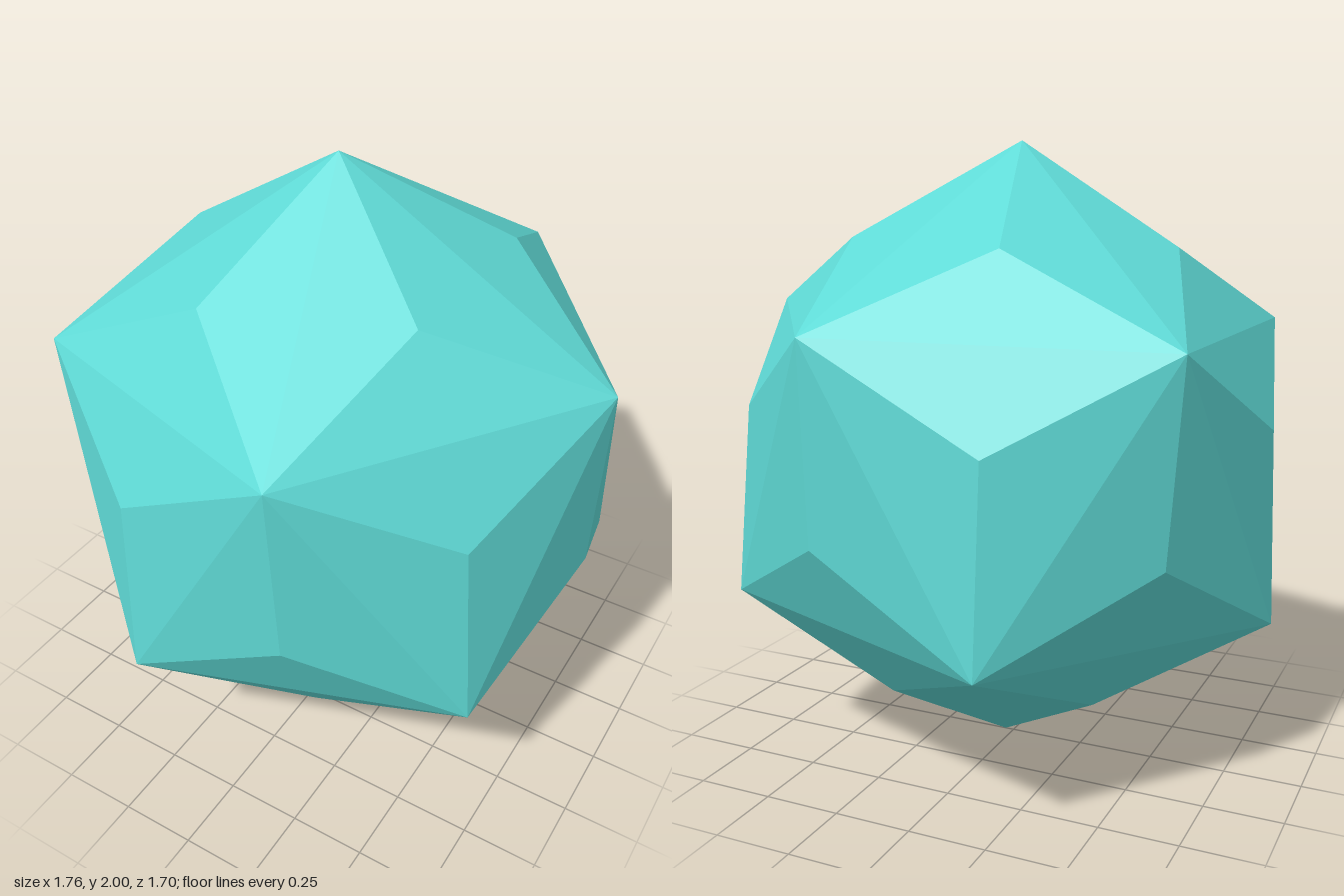
import * as THREE from 'three';

// Faceted gem: an icosahedron with a shallow three-sided pyramid on every face.
const RADIUS = 1.0004; // sharp corners
const PEAK = 0.872; // pyramid tips, measured from the centre

function gemGeometry() {
  const base = new THREE.IcosahedronGeometry(RADIUS, 0).getAttribute('position');
  const points = [];
  for (let i = 0; i < base.count; i += 3) {
    const corners = [0, 1, 2].map((k) => new THREE.Vector3().fromBufferAttribute(base, i + k));
    const tip = corners[0].clone().add(corners[1]).add(corners[2]).setLength(PEAK);
    for (let k = 0; k < 3; k++) points.push(corners[k], corners[(k + 1) % 3], tip);
  }
  const geometry = new THREE.BufferGeometry().setFromPoints(points);
  geometry.rotateZ(-Math.PI / 6);
  geometry.computeVertexNormals();
  return geometry;
}

export function createModel() {
  const turquoise = new THREE.MeshStandardMaterial({ color: 0x5fdad6, flatShading: true });
  turquoise.name = 'turquoise';

  const gem = new THREE.Mesh(gemGeometry(), turquoise);
  gem.name = 'facetedGem';
  gem.position.y = 1;

  const model = new THREE.Group();
  model.name = 'gem';
  model.add(gem);
  return model;
}
